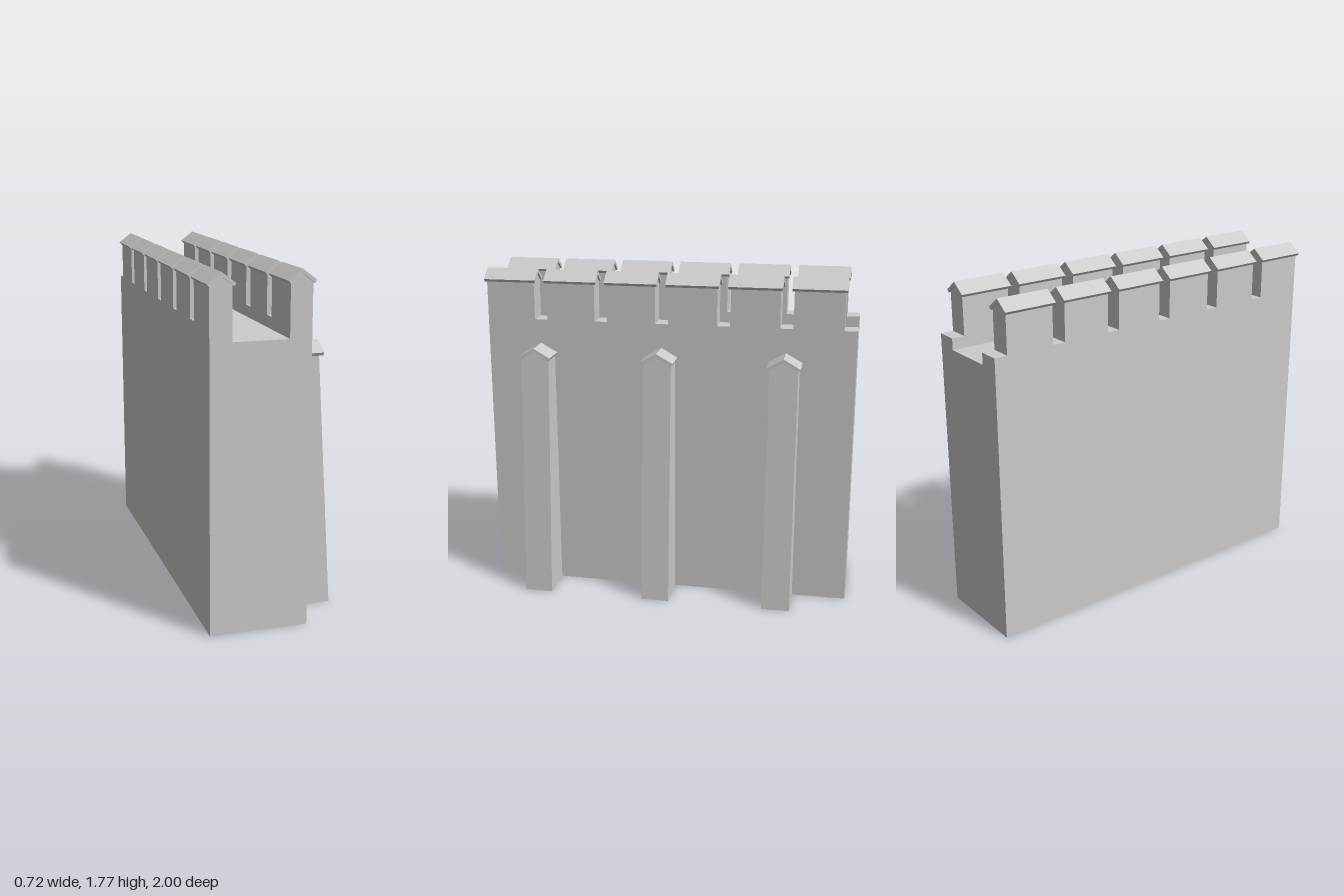
import * as THREE from 'three';

const material = new THREE.MeshStandardMaterial({ color: 0xcccccc, flatShading: true });

// Extrude an outline of [x, y] points along +z
function prism(points, depth) {
  const shape = new THREE.Shape(points.map(([x, y]) => new THREE.Vector2(x, y)));
  return new THREE.ExtrudeGeometry(shape, { depth, bevelEnabled: false });
}

function part(name, geometry, x = 0, z = 0) {
  const mesh = new THREE.Mesh(geometry, material);
  mesh.name = name;
  mesh.position.set(x, 0, z);
  return mesh;
}

// Block outline with a gabled top
const gable = (half, bottom, eave, apex) =>
  [[-half, bottom], [half, bottom], [half, eave], [0, apex], [-half, eave]];

// Folded slab outline: outer and inner slope with square-cut eaves
const chevron = (outer, outerY, outerApex, inner, innerY, innerApex) => [
  [-outer, outerY], [-inner, innerY], [0, innerApex],
  [inner, innerY], [outer, outerY], [0, outerApex],
];

export function createModel() {
  const model = new THREE.Group();
  model.name = 'castleWall';

  // Wall body with a sunken walkway between two low parapets
  model.add(part('wallBody', prism([
    [-0.35, 0], [0.15, 0], [0.15, 1.51], [0.04, 1.51],
    [0.04, 1.45], [-0.24, 1.45], [-0.24, 1.51], [-0.35, 1.51],
  ], 1.988), 0, -1));

  // Merlons with folded capstones along both parapets
  const merlonGeometry = prism(gable(0.055, 1.51, 1.714, 1.757), 0.262);
  const capGeometry = prism(chevron(0.07, 1.722, 1.775, 0.059, 1.708, 1.755), 0.284);
  for (const x of [-0.295, 0.095]) {
    for (let i = 0; i < 6; i++) {
      const z = 0.726 - i * 0.3315;
      model.add(part('merlon', merlonGeometry, x, z));
      model.add(part('merlonCap', capGeometry, x, z - 0.01));
    }
  }

  // Buttress: gabled column whose outer face leans in toward the top
  const buttressGeometry = prism(gable(0.075, 0, 1.322, 1.364), 0.2);
  const pos = buttressGeometry.attributes.position;
  for (let i = 0; i < pos.count; i++) {
    if (pos.getZ(i) > 0.1) pos.setZ(i, 0.208 - 0.064 * pos.getY(i));
  }
  buttressGeometry.computeVertexNormals();
  const roofGeometry = prism(chevron(0.088, 1.331, 1.381, 0.079, 1.315, 1.362), 0.145);
  for (const z of [0.695, 0.03, -0.635]) {
    const buttress = part('buttress', buttressGeometry, 0.15, z);
    const roof = part('buttressRoof', roofGeometry, 0.15, z);
    buttress.rotation.y = roof.rotation.y = Math.PI / 2;
    model.add(buttress, roof);
  }

  return model;
}
